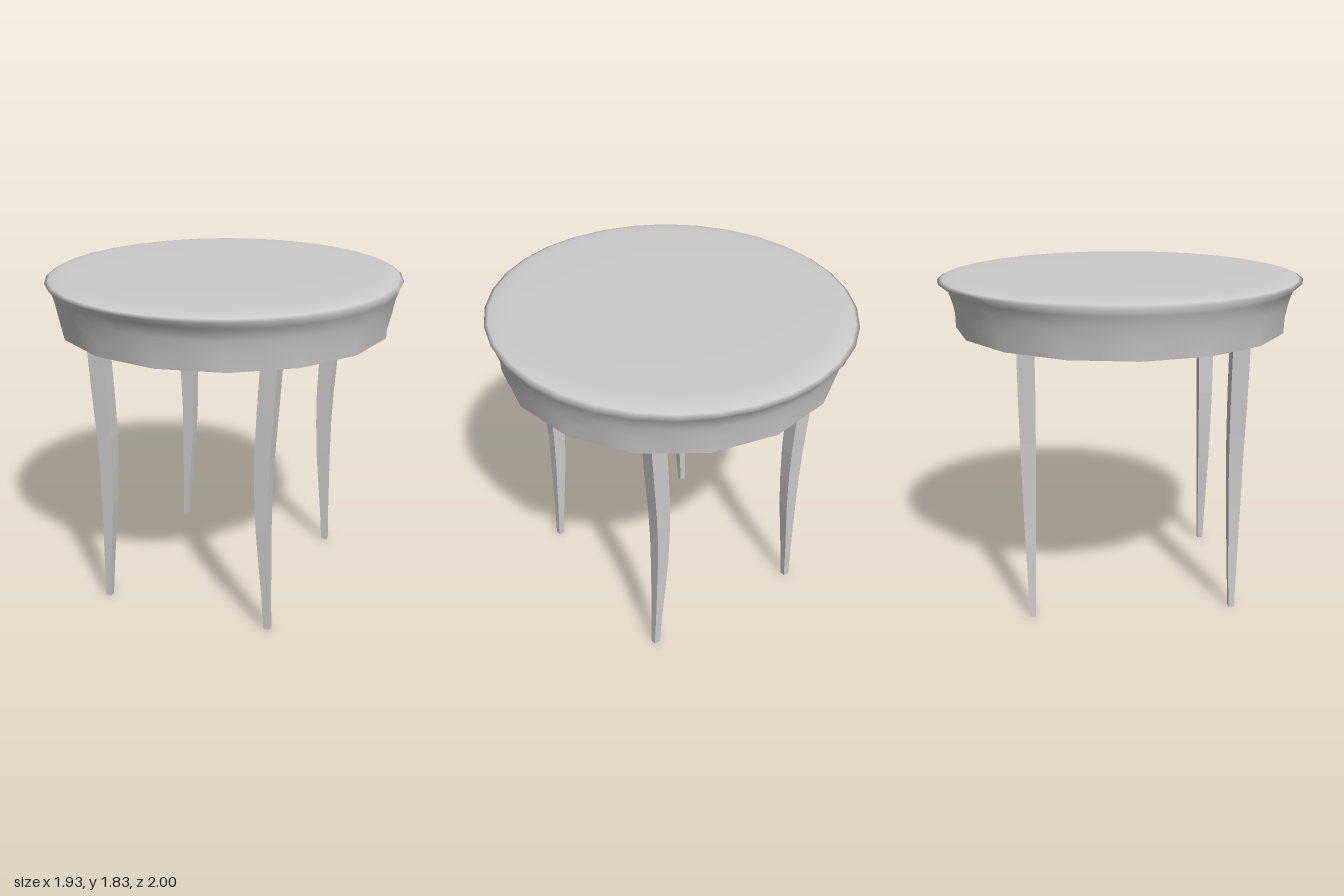
import * as THREE from 'three';
import { mergeVertices } from 'three/addons/utils/BufferGeometryUtils.js';

const material = new THREE.MeshStandardMaterial({ color: 0xcccccc });
const legMaterial = new THREE.MeshStandardMaterial({ color: 0xcccccc, flatShading: true });

// Round top with flared apron: [radius along x, y, radius along z]
const PROFILE = [
  [0.91, 1.53, 0.91], [0.912, 1.61, 0.912], [0.927, 1.69, 0.928], [0.948, 1.755, 0.948],
  [0.965, 1.795, 1.0], [0.945, 1.808, 0.975], [0.9, 1.818, 0.93], [0.83, 1.823, 0.85],
  [0.55, 1.828, 0.56], [0, 1.83, 0],
];

function tabletopGeometry() {
  const sides = 32;
  const lathe = new THREE.LatheGeometry(PROFILE.map(([r, y]) => new THREE.Vector2(r, y)), sides);
  lathe.deleteAttribute('uv');
  lathe.deleteAttribute('normal');
  const pos = lathe.attributes.position;
  for (let i = 0; i < pos.count; i++) {
    const row = i % PROFILE.length;
    const column = Math.floor(i / PROFILE.length);
    const [rx, , rz] = PROFILE[row];
    // The lowest ring has half as many sides, so its odd points sit on the chords
    const chord = row === 0 && column % 2 ? Math.cos(Math.PI / 16) : 1;
    const angle = (column % sides) / sides * Math.PI * 2;
    pos.setX(i, Math.sin(angle) * rx * chord);
    pos.setZ(i, Math.cos(angle) * rz * chord);
  }
  const geometry = mergeVertices(lathe, 1e-4);
  geometry.computeVertexNormals();
  return geometry;
}

// Leg sections from foot to top: [y, inner x, outer x, half depth]
const LEG = [
  [0, 0.465, 0.5, 0.016], [0.2, 0.452, 0.493, 0.022], [0.6, 0.418, 0.485, 0.033],
  [0.8, 0.41, 0.485, 0.037], [1.0, 0.408, 0.492, 0.041], [1.25, 0.42, 0.509, 0.045],
  [1.54, 0.437, 0.527, 0.046],
];

// Square tapered leg, curved sideways
function legGeometry(side) {
  const steps = LEG.length - 1;
  const geometry = new THREE.BoxGeometry(1, 1, 1, 1, steps, 1);
  const pos = geometry.attributes.position;
  for (let i = 0; i < pos.count; i++) {
    const [y, inner, outer, depth] = LEG[Math.round((pos.getY(i) + 0.5) * steps)];
    const isOuter = pos.getX(i) * side > 0;
    pos.setXYZ(i, side * (isOuter ? outer : inner) - 0.005, y, Math.sign(pos.getZ(i)) * depth);
  }
  geometry.computeVertexNormals();
  return geometry;
}

export function createModel() {
  const table = new THREE.Group();
  table.name = 'roundTable';

  const top = new THREE.Mesh(tabletopGeometry(), material);
  top.name = 'tabletop';
  table.add(top);

  // Flat underside closing the apron
  const underside = new THREE.Mesh(new THREE.CircleGeometry(0.91, 16), material);
  underside.name = 'underside';
  underside.rotation.x = Math.PI / 2;
  underside.position.y = 1.53;
  table.add(underside);

  for (const [end, z] of [['front', 0.575], ['back', -0.539]]) {
    for (const [name, side] of [['Left', 1], ['Right', -1]]) {
      const leg = new THREE.Mesh(legGeometry(side), legMaterial);
      leg.name = `${end}${name}Leg`;
      leg.position.z = z;
      table.add(leg);
    }
  }
  return table;
}
